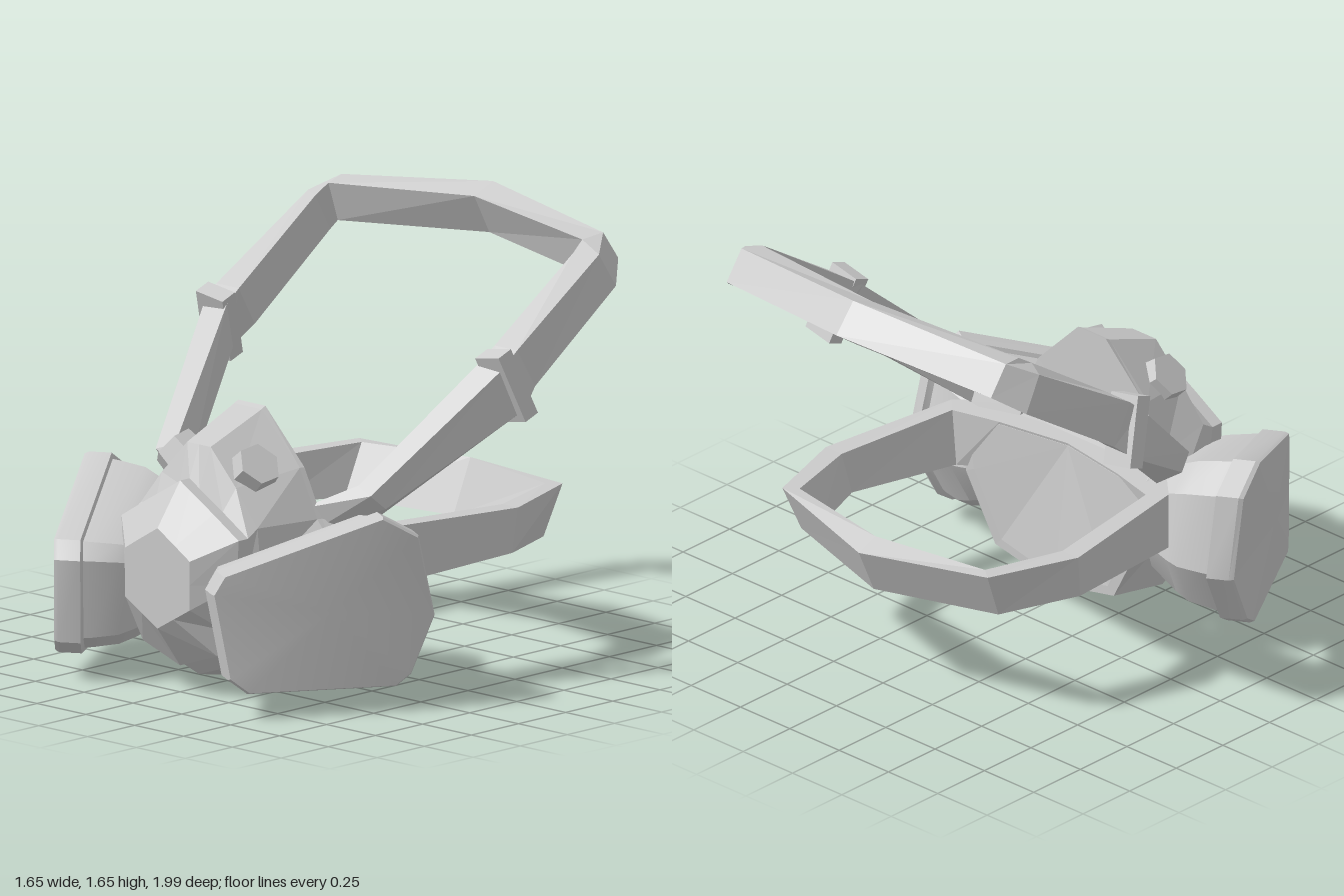
import * as THREE from 'three';
import { toCreasedNormals } from 'three/addons/utils/BufferGeometryUtils.js';

const flat = new THREE.MeshStandardMaterial({ color: 0xcccccc, flatShading: true });
const smooth = new THREE.MeshStandardMaterial({ color: 0xcccccc });
const mirror = ([x, y, z]) => [-x, y, z];

// Skins a list of equal-length rings; caps are fans round a centre point
function loft(rings, { caps = true, startCentre, endCentre } = {}) {
  const tris = [];
  const n = rings[0].length;
  for (let r = 0; r < rings.length - 1; r++) {
    for (let i = 0; i < n; i++) {
      const j = (i + 1) % n;
      const [a, b, c, d] = [rings[r][i], rings[r][j], rings[r + 1][j], rings[r + 1][i]];
      tris.push([a, b, c], [a, c, d]);
    }
  }
  const average = ring => [0, 1, 2].map(k => ring.reduce((s, p) => s + p[k], 0) / n);
  if (caps) {
    const first = rings[0], last = rings[rings.length - 1];
    const c0 = startCentre || average(first), c1 = endCentre || average(last);
    for (let i = 0; i < n; i++) {
      const j = (i + 1) % n;
      tris.push([c0, first[j], first[i]], [c1, last[i], last[j]]);
    }
  }
  // Turn all faces outward, judged by the enclosed volume
  const v = p => new THREE.Vector3(...p);
  const volume = tris.reduce((s, [a, b, c]) => s + v(a).dot(v(b).cross(v(c))), 0);
  if (volume < 0) tris.forEach(t => t.reverse());
  const g = new THREE.BufferGeometry();
  g.setAttribute('position', new THREE.Float32BufferAttribute(tris.flat(2), 3));
  g.computeVertexNormals();
  return g;
}

function add(parent, name, geometry, material = flat) {
  const mesh = new THREE.Mesh(geometry, material);
  mesh.name = name;
  parent.add(mesh);
  return mesh;
}

// Mask shell with the front valve: half outlines, top to bottom, back to front
function maskGeometry() {
  const atZ = (z, pts) => pts.map(([x, y]) => [x, y, z]);
  const valve = [[0, .8], [.05, .77], [.17, .7], [.3, .62], [.29, .45], [.22, .27], [.19, .165], [0, .1]];
  const halves = [
    // upright back of the nose, then a shelf down to the rear face
    [[0, .63, .36], [.06, .63, .36], [.2, .63, .36], [.33, .63, .36],
      [.44, .61, .167], [.4, .4, .16], [.27, .15, .17], [0, .09, .17]],
    [[0, 1.03, .37], [.07, 1.03, .37], [.27, .83, .37], [.36, .65, .37],
      [.47, .6, .17], [.44, .38, .16], [.3, .12, .17], [0, .06, .17]],
    atZ(.39, [[0, 1.02], [.07, 1.02], [.265, .83], [.355, .65], [.44, .55], [.42, .38], [.34, .1], [0, 0]]),
    atZ(.65, [[0, .92], [.06, .92], [.19, .785], [.3, .65], [.32, .46], [.3, .26], [.24, .13], [0, .05]]),
    atZ(.7, valve),
    atZ(.75, valve),
    atZ(.87, [[0, .64], [.03, .622], [.09, .586], [.165, .54], [.165, .45], [.165, .355], [.08, .306], [0, .26]]),
  ];
  const rings = halves.map(h => [...h, ...h.slice(1, -1).reverse().map(mirror)]);
  return loft(rings, { startCentre: [0, .61, .24] });
}

// Straps: sections of four corners (outer top, outer bottom, inner bottom, inner top)
// run from the back centre to the mask, then mirrored
const UPPER = [
  [[0, 1.65, -.91], [0, 1.54, -1], [0, 1.46, -.89], [0, 1.61, -.81]],
  [[.67, 1.585, -.8], [.67, 1.475, -.88], [.65, 1.42, -.76], [.65, 1.57, -.71]],
  [[.745, 1.53, -.7], [.755, 1.4, -.78], [.66, 1.39, -.73], [.66, 1.53, -.65]],
  [[.77, 1.25, -.24], [.775, 1.1, -.33], [.66, 1.1, -.33], [.655, 1.25, -.24]],
  [[.765, 1.19, -.17], [.8, 1.03, -.25], [.69, 1.03, -.25], [.65, 1.2, -.17]],
  [[.55, .755, .31], [.57, .7, .25], [.47, .63, .22], [.47, .78, .29]],
  [[.28, .68, .4], [.28, .57, .38], [.28, .57, .26], [.28, .66, .3]],
];
const LOWER = [
  [[0, .59, -.88], [0, .41, -.8], [0, .42, -.7], [0, .625, -.79]],
  [[.52, .62, -.74], [.5, .43, -.66], [.46, .43, -.6], [.47, .62, -.7]],
  [[.64, .61, -.38], [.63, .44, -.36], [.545, .44, -.34], [.56, .61, -.38]],
  [[.55, .62, .2], [.55, .4, .2], [.47, .4, .14], [.49, .62, .14]],
  [[.35, .62, .39], [.35, .41, .35], [.3, .41, .23], [.3, .62, .19]],
  [[0, .62, .4], [0, .41, .4], [0, .41, .28], [0, .62, .24]],
];
const mirrored = sections => sections.map(s => s.map(mirror));

// Filter canister: a bowed outline stepped inward towards the mask
function filterGeometry(side) {
  const outline = [[1, .475], [.97, .545], [.46, .735], [.32, .65], [.25, .34],
    [.35, .13], [.41, .09], [.9, .095], [.955, .15]];
  const layers = [[0, .98], [.015, 1], [.1, 1], [.11, .94], [.14, .93], [.24, .88], [.3, .8], [.42, .6]];
  const place = (z, y, depth) => {
    const t = .99 - z;
    return [side * (.415 + .926 * t - .5 * t * t - .86 * depth), y, z - .51 * depth];
  };
  const rings = layers.map(([depth, s]) =>
    outline.map(([z, y]) => place(.7 + (z - .7) * s, .4 + (y - .4) * s, depth)));
  const g = loft(rings, { startCentre: place(.64, .4, 0), endCentre: place(.7, .4, .42) });
  return toCreasedNormals(g, .45);
}

export function createModel() {
  const model = new THREE.Group();
  model.name = 'respirator';

  add(model, 'maskBody', maskGeometry());
  add(model, 'upperStrap', loft([...mirrored(UPPER).reverse(), ...UPPER.slice(1)]));
  add(model, 'lowerStrap', loft([...LOWER, ...mirrored(LOWER).reverse().slice(1)], { caps: false }));

  for (const side of [1, -1]) {
    const label = side > 0 ? 'left' : 'right';
    add(model, label + 'Filter', filterGeometry(side), smooth);

    // Strap buckle, tilted with the strap
    const buckle = add(model, label + 'Buckle', new THREE.BoxGeometry(.13, .27, .07));
    buckle.position.set(side * .735, 1.115, -.22);
    buckle.rotation.set(.36, 0, side * .18);

    // Hexagonal bolt on the sloping nose side
    const bolt = add(model, label + 'Bolt', new THREE.CylinderGeometry(.085, .095, .1, 6));
    bolt.position.set(side * .185, .835, .55);
    bolt.quaternion.setFromUnitVectors(
      new THREE.Vector3(0, 1, 0), new THREE.Vector3(side * .74, .64, .15).normalize());
  }
  return model;
}
